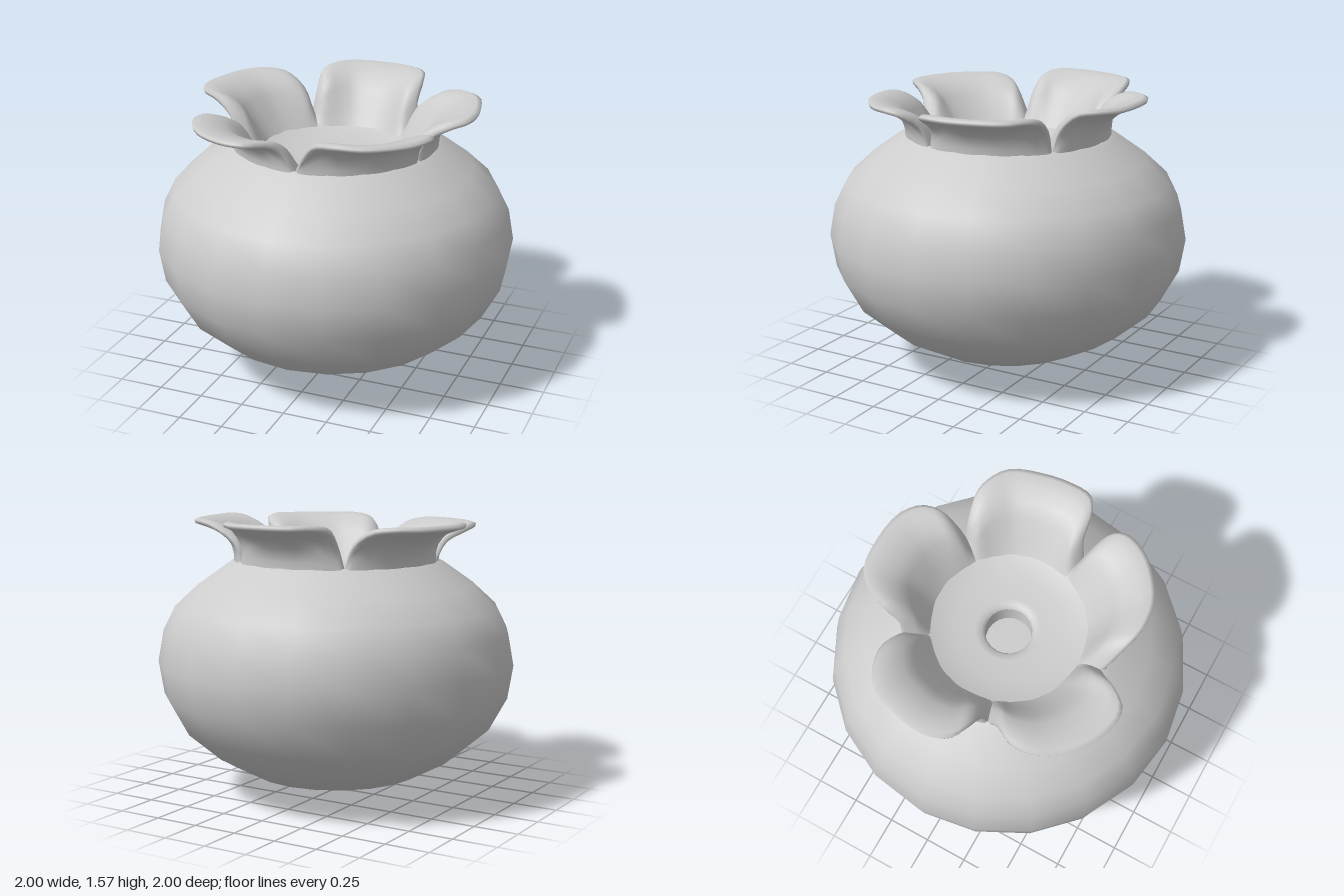
import * as THREE from 'three';

const NOTCH = [0.555, 1.33]; // radius and height of the notches between petals
const STEPS = 28;

// Cross-section of a petal as [share of the way to the rim, share of the height]
const OUTER = [[0, 0], [0, 0.25], [0.1, 0.55], [0.38, 0.77], [0.7, 0.9], [0.98, 1]];
const INNER = [[1, 1], [0.93, 1], [0.76, 0.96], [0.55, 0.86], [0.38, 0.66], [0.21, 0.34], [0, 0]];

// Rim outlines [x, z] between two notches, with rim height
const PETALS = [
  { name: 'frontLeftPetal', top: 1.535, rim: [[0.07, 0.6], [0.14, 0.635], [0.25, 0.66], [0.4, 0.64], [0.52, 0.57], [0.62, 0.47], [0.67, 0.35], [0.65, 0.27], [0.57, 0.21]] },
  { name: 'leftPetal', top: 1.55, rim: [[0.57, 0.14], [0.7, 0.12], [0.77, 0.07], [0.785, -0.06], [0.76, -0.22], [0.7, -0.38], [0.6, -0.45], [0.5, -0.475], [0.37, -0.455]] },
  { name: 'backPetal', top: 1.565, rim: [[0.31, -0.48], [0.31, -0.58], [0.28, -0.68], [0.18, -0.76], [0, -0.785], [-0.18, -0.76], [-0.27, -0.67], [-0.31, -0.57], [-0.31, -0.48]] },
  { name: 'rightPetal', top: 1.555, rim: [[-0.37, -0.445], [-0.5, -0.47], [-0.63, -0.44], [-0.73, -0.36], [-0.78, -0.22], [-0.805, -0.06], [-0.76, 0.08], [-0.66, 0.13], [-0.56, 0.15]] },
  { name: 'frontRightPetal', top: 1.52, rim: [[-0.56, 0.25], [-0.62, 0.34], [-0.63, 0.44], [-0.58, 0.57], [-0.47, 0.69], [-0.3, 0.765], [-0.19, 0.76], [-0.1, 0.66], [-0.06, 0.6]] },
];

const polar = (r, a, y) => new THREE.Vector3(r * Math.sin(a), y, r * Math.cos(a));

// Loft from the neck out to the rim and back over the top to the inside
function petalGeometry(index, { top, rim }) {
  const a0 = (index * Math.PI * 2) / 5;
  const a1 = ((index + 1) * Math.PI * 2) / 5;
  const last = rim.length - 1;
  const curve = new THREE.CatmullRomCurve3([
    polar(NOTCH[0], a0, NOTCH[1]),
    ...rim.map(([x, z], i) => new THREE.Vector3(x, i === 0 || i === last ? 1.45 : i === 1 || i === last - 1 ? top - 0.02 : top, z)),
    polar(NOTCH[0], a1, NOTCH[1]),
  ]);
  const pos = [];
  const idx = [];
  const rows = OUTER.length + INNER.length;
  for (let i = 0; i <= STEPS; i++) {
    const u = i / STEPS;
    const tip = curve.getPoint(u);
    const a = a0 + (a1 - a0) * u;
    const add = (base, drop, [h, v]) => pos.push(
      base.x + (tip.x - base.x) * h,
      base.y + (tip.y - drop - base.y) * v,
      base.z + (tip.z - base.z) * h,
    );
    OUTER.forEach((p) => add(polar(0.57, a, 1.3), 0.028, p));
    INNER.slice().forEach((p) => add(polar(0.41, a, 1.25), p[0] === 1 ? 0.01 : 0, p));
    if (i === STEPS) break;
    for (let j = 0; j < rows - 1; j++) {
      const p = i * rows + j;
      const q = p + rows;
      idx.push(p, q, p + 1, q, q + 1, p + 1);
    }
  }
  const geo = new THREE.BufferGeometry();
  geo.setAttribute('position', new THREE.Float32BufferAttribute(pos, 3));
  geo.setIndex(idx);
  geo.computeVertexNormals();
  return geo;
}

export function createModel() {
  const group = new THREE.Group();
  const material = new THREE.MeshStandardMaterial({ color: 0xcccccc, side: THREE.DoubleSide });
  const add = (name, geometry) => {
    const mesh = new THREE.Mesh(geometry, material);
    mesh.name = name;
    group.add(mesh);
  };
  const lathe = (points) => new THREE.LatheGeometry(points.map(([r, y]) => new THREE.Vector2(r, y)), 20);

  // Round body up to the neck
  add('body', lathe([
    [0, 0], [0.48, 0.12], [0.69, 0.235], [0.87, 0.39], [0.97, 0.575], [1, 0.76],
    [0.968, 0.935], [0.9, 1.07], [0.77, 1.19], [0.6, 1.31], [0.56, 1.33],
  ]));

  // Shallow dish inside the petals, with a small well in its middle
  add('dish', lathe([
    [0.56, 1.33], [0.5, 1.305], [0.42, 1.262], [0.3, 1.235], [0.18, 1.228], [0.145, 1.225], [0.128, 1.2],
  ]));
  add('well', lathe([[0.128, 1.2], [0.125, 1.08]]));
  const floor = new THREE.CircleGeometry(0.125, 20);
  floor.rotateX(-Math.PI / 2).translate(0, 1.08, 0);
  add('wellFloor', floor);

  // Ring of five flared petals
  PETALS.forEach((petal, i) => add(petal.name, petalGeometry(i, petal)));
  return group;
}
